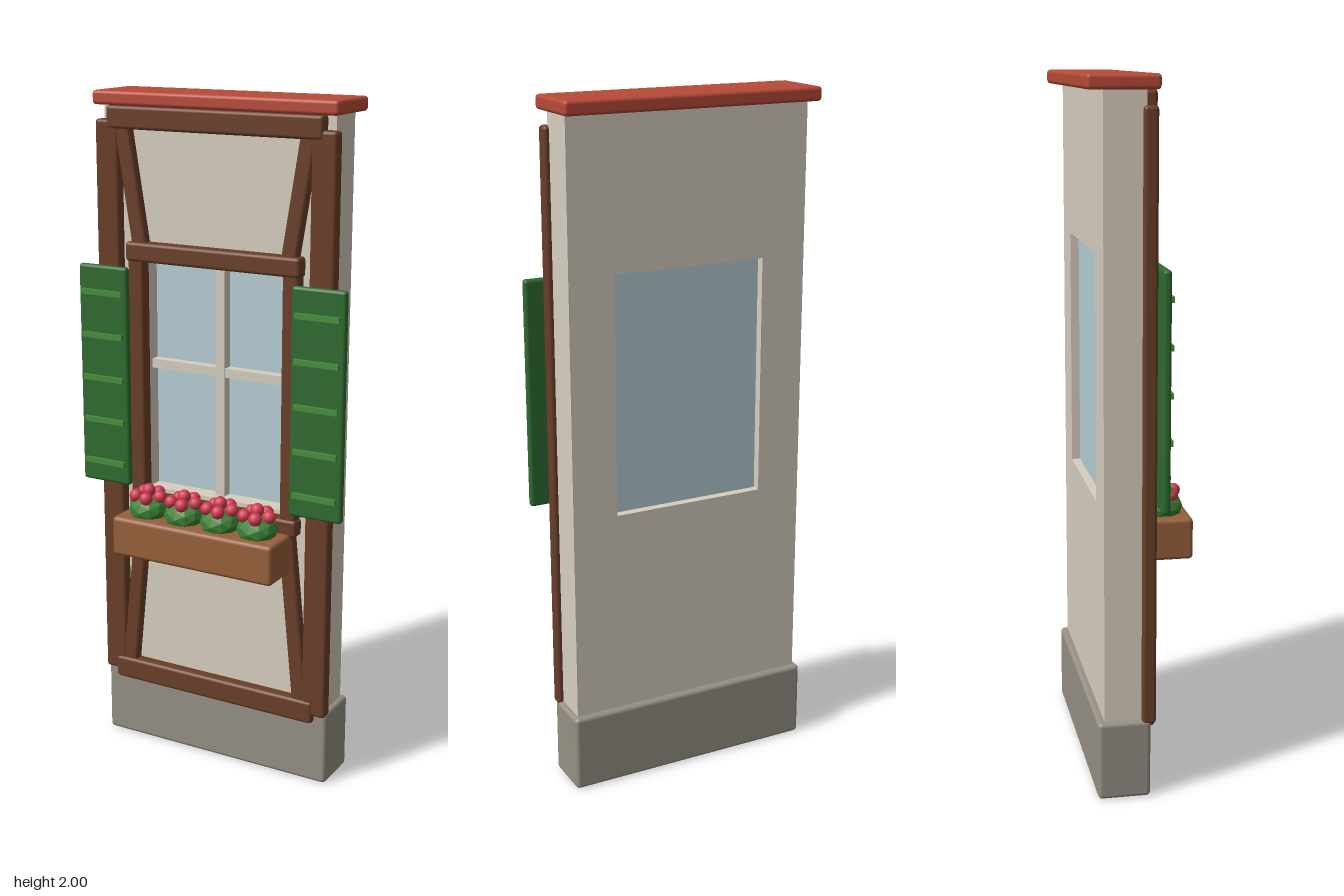
import * as THREE from 'three';
import { RoundedBoxGeometry } from 'three/addons/geometries/RoundedBoxGeometry.js';

const mat = (name, color, extra = {}) => {
  const m = new THREE.MeshStandardMaterial({ color, ...extra });
  m.name = name;
  return m;
};

export function createModel() {
  const plaster = mat('plaster', 0xd6cec0);
  const stone = mat('stone', 0x969085);
  const timber = mat('timber', 0x6a3e28);
  const tile = mat('roofTile', 0xb84a38);
  const glass = mat('glass', 0xb5ced5);
  const shutterGreen = mat('shutterGreen', 0x2f6b30);
  const slatGreen = mat('slatGreen', 0x468f3c);
  const boxWood = mat('planterWood', 0x96603a);
  const leaf = mat('leaf', 0x3d8236, { flatShading: true });
  const petal = mat('petal', 0xd03a50);

  const model = new THREE.Group();
  model.name = 'timberFrameWindowWall';

  const add = (name, geometry, material, parent = model) => {
    const mesh = new THREE.Mesh(geometry, material);
    mesh.name = name;
    parent.add(mesh);
    return mesh;
  };
  // Box given by its min and max corners, with softened edges when r > 0
  const block = (name, material, [x0, y0, z0], [x1, y1, z1], r = 0.01, parent = model) => {
    const s = [x1 - x0, y1 - y0, z1 - z0];
    const g = r > 0 ? new RoundedBoxGeometry(...s, 2, r) : new THREE.BoxGeometry(...s);
    const mesh = add(name, g, material, parent);
    mesh.position.set((x0 + x1) / 2, (y0 + y1) / 2, (z0 + z1) / 2);
    return mesh;
  };

  // Wall panel with a window opening
  const rect = (S, x, y0, y1) => {
    const s = new S();
    s.moveTo(-x, y0);
    s.lineTo(x, y0);
    s.lineTo(x, y1);
    s.lineTo(-x, y1);
    s.closePath();
    return s;
  };
  const wallShape = rect(THREE.Shape, 0.365, 0.2, 1.97);
  wallShape.holes.push(rect(THREE.Path, 0.23, 0.835, 1.53));
  const wall = add('wall', new THREE.ExtrudeGeometry(wallShape, { depth: 0.115, bevelEnabled: false }), plaster);
  wall.position.z = -0.115;

  block('plinth', stone, [-0.38, 0, -0.135], [0.38, 0.23, 0.015], 0.012);
  block('roofCap', tile, [-0.385, 1.96, -0.16], [0.385, 2, 0.035], 0.01);

  // Window pane and glazing bars
  block('glassPane', glass, [-0.23, 0.835, -0.09], [0.23, 1.53, -0.055], 0);
  block('verticalBar', plaster, [-0.015, 0.835, -0.056], [0.015, 1.53, -0.024], 0);
  block('horizontalBar', plaster, [-0.23, 1.198, -0.056], [0.23, 1.225, -0.026], 0);

  // Horizontal timbers
  block('topBeam', timber, [-0.34, 1.895, -0.01], [0.34, 1.96, 0.034]);
  block('bottomBeam', timber, [-0.34, 0.195, -0.01], [0.34, 0.265, 0.034]);
  block('lintel', timber, [-0.28, 1.522, -0.01], [0.28, 1.578, 0.038]);
  block('sill', timber, [-0.28, 0.77, -0.01], [0.28, 0.822, 0.038]);

  // Diagonal timber between two points on the wall face
  const brace = (name, x0, y0, x1, y1) => {
    const len = Math.hypot(x1 - x0, y1 - y0);
    const mesh = add(name, new RoundedBoxGeometry(0.048, len, 0.036, 2, 0.01), timber);
    mesh.position.set((x0 + x1) / 2, (y0 + y1) / 2, 0.01);
    mesh.rotation.z = -Math.atan2(x1 - x0, y1 - y0);
  };

  for (const [side, s] of [['left', 1], ['right', -1]]) {
    const span = (name, m, xa, xb, y0, y1, z0, z1, r, p) =>
      block(name, m, [Math.min(s * xa, s * xb), y0, z0], [Math.max(s * xa, s * xb), y1, z1], r, p);
    span(side + 'Post', timber, 0.305, 0.38, 0.22, 1.92, -0.01, 0.03, 0.01);
    span(side + 'Jamb', timber, 0.225, 0.275, 0.8, 1.54, -0.01, 0.033, 0.01);
    brace(side + 'UpperBrace', s * 0.297, 1.92, s * 0.237, 1.55);
    brace(side + 'LowerBrace', s * 0.297, 0.23, s * 0.24, 0.79);

    // Open shutter with raised slats
    const shutter = new THREE.Group();
    shutter.name = side + 'Shutter';
    model.add(shutter);
    span('shutterPanel', shutterGreen, 0.266, 0.43, 0.845, 1.505, 0.033, 0.056, 0.009, shutter);
    for (let i = 0; i < 5; i++) {
      const y = 0.91 + i * 0.129;
      span('slat', slatGreen, 0.28, 0.415, y - 0.008, y + 0.008, 0.05, 0.065, 0, shutter);
    }
  }

  // Flower box with four blooming bushes
  block('flowerBox', boxWood, [-0.265, 0.66, 0.03], [0.265, 0.78, 0.157], 0.012);
  const bushGeo = new THREE.IcosahedronGeometry(0.06, 1);
  const bloomGeo = new THREE.SphereGeometry(0.02, 12, 8);
  for (let i = 0; i < 4; i++) {
    const plant = new THREE.Group();
    plant.name = 'plant';
    plant.position.set((i - 1.5) * 0.121, 0.797, 0.081);
    model.add(plant);
    add('bush', bushGeo, leaf, plant).scale.y = 0.75;
    add('bloom', bloomGeo, petal, plant).position.y = 0.058;
    for (let k = 0; k < 5; k++) {
      const a = (k * Math.PI * 2) / 5;
      add('bloom', bloomGeo, petal, plant).position.set(0.038 * Math.cos(a), 0.042, 0.038 * Math.sin(a));
    }
  }
  return model;
}
